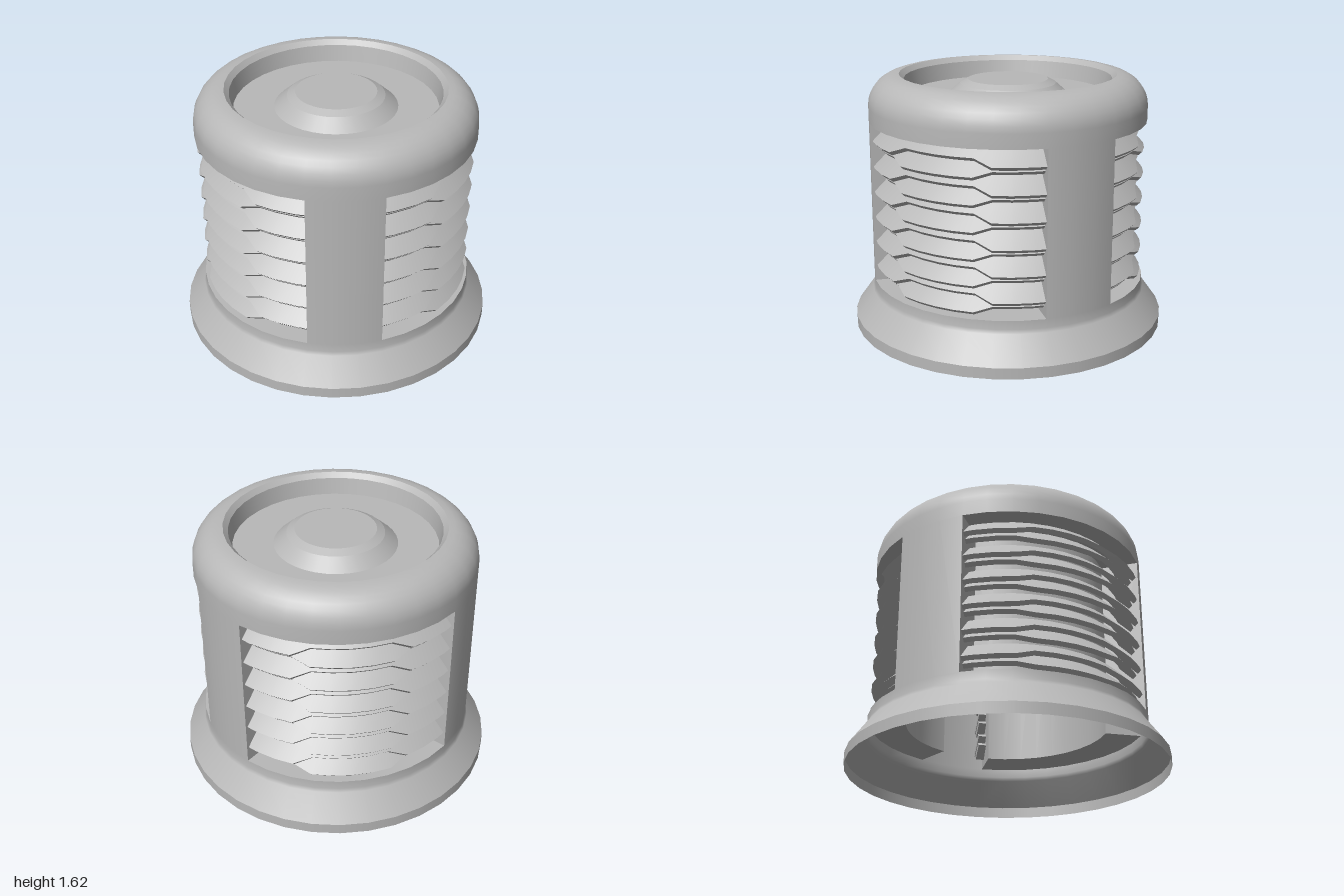
import * as THREE from 'three';

const rad = THREE.MathUtils.degToRad;
const R = 0.875, INNER = 0.64;      // outer wall and window-back radii
const SILL = 0.31, LINTEL = 1.33;   // window bottom and top

export function createModel() {
  const root = new THREE.Group();
  root.name = 'ventHousing';
  const grey = new THREE.MeshStandardMaterial({ color: 0xb8b8b8, side: THREE.DoubleSide });
  grey.name = 'plain grey';

  const add = (parent, name, geometry) => {
    const mesh = new THREE.Mesh(geometry, grey);
    mesh.name = name;
    parent.add(mesh);
    return mesh;
  };
  // Revolved surface; start and span in degrees, one facet per 10 degrees
  const lathe = (parent, name, pts, start = 15, span = 360) =>
    add(parent, name, new THREE.LatheGeometry(
      pts.map(([r, y]) => new THREE.Vector2(r, y)), span / 10, rad(start), rad(span)));

  // Hollow flared base
  lathe(root, 'baseRim', [[1, 0], [1, 0.07]]);
  lathe(root, 'baseFlare', [[1, 0.07], [0.885, 0.23], [R, 0.255], [R, SILL]]);

  // Rounded cap
  const capProfile = [[R, LINTEL], [R, 1.42]];
  for (let i = 1; i <= 8; i++) {
    const a = (i / 8) * Math.PI / 2;
    capProfile.push([0.68 + 0.195 * Math.cos(a), 1.42 + 0.195 * Math.sin(a)]);
  }
  lathe(root, 'cap', capProfile);

  // Dished top with a raised knob
  lathe(root, 'dishLip', [[0.68, 1.615], [0.65, 1.585]]);
  lathe(root, 'dishWall', [[0.65, 1.585], [0.63, 1.48]]);
  lathe(root, 'dishFloor', [[0.63, 1.48], [0.38, 1.48]]);
  lathe(root, 'knobSide', [[0.38, 1.48], [0.3, 1.55]]);
  lathe(root, 'knobBevel', [[0.3, 1.55], [0.25, 1.575]]);
  lathe(root, 'knobTop', [[0.25, 1.575], [0, 1.575]]);

  const longSideBlade = bladeGeometry(2.065, 0.852, 0.812);
  const longMiddleBlade = bladeGeometry(2.0, 0.82, 0.85);
  const wall = new THREE.PlaneGeometry(R - INNER, LINTEL - SILL);
  wall.translate((R + INNER) / 2, (SILL + LINTEL) / 2, 0);

  // Three pillars and three louvred windows between them
  for (let k = 0; k < 3; k++) {
    lathe(root, 'pillar', [[R, SILL], [R, LINTEL]], 15 + 120 * k, 30);

    const window = new THREE.Group();
    window.name = 'louvreWindow';
    window.rotation.y = rad(120 * k);
    root.add(window);
    lathe(window, 'windowBack', [[INNER, SILL], [INNER, LINTEL]], 45, 90);
    lathe(window, 'windowSill', [[R, SILL], [INNER, SILL]], 45, 90);
    lathe(window, 'windowLintel', [[INNER, LINTEL], [R, LINTEL]], 45, 90);
    for (const side of [-1, 1]) {
      add(window, 'windowJamb', wall).rotation.y = rad(45 * side);
    }
    for (let i = 0; i < 6; i++) {
      add(window, 'upperBlade', longSideBlade).position.y = -0.1625 * i;
      add(window, 'lowerBlade', longMiddleBlade).position.y = -0.1625 * i;
    }
  }
  return root;
}

// Curved slat sloping down and outward at 45 degrees along y = c - r;
// its outer edge steps between a side radius and a middle radius
function bladeGeometry(c, sideR, middleR) {
  const angles = [-49, -41, -32, -24, -16.5, -8, 0, 8, 16.5, 24, 32, 41, 49];
  const h = 0.0106, innerR = 0.74;
  const sections = angles.map((a) => {
    const t = THREE.MathUtils.clamp((Math.abs(a) - 16.5) / 7.5, 0, 1);
    const tip = THREE.MathUtils.lerp(middleR, sideR, t);
    const phi = rad(90 + a);
    return [[tip, h], [tip, -h], [innerR, -h], [innerR, h]].map(([r, d]) =>
      [(r + d) * Math.sin(phi), c - r + d, (r + d) * Math.cos(phi)]);
  });
  const pos = [], index = [];
  // Four long faces, each with its own vertices for sharp edges
  for (let j = 0; j < 4; j++) {
    const base = pos.length / 3;
    sections.forEach((s, i) => {
      pos.push(...s[j], ...s[(j + 1) % 4]);
      if (i === 0) return;
      const q = base + 2 * i, p = q - 2;
      index.push(p, p + 1, q, p + 1, q + 1, q);
    });
  }
  // End faces
  for (const [s, order] of [[sections[0], [0, 2, 1, 0, 3, 2]], [sections.at(-1), [0, 1, 2, 0, 2, 3]]]) {
    const base = pos.length / 3;
    s.forEach((p) => pos.push(...p));
    index.push(...order.map((o) => base + o));
  }
  const g = new THREE.BufferGeometry();
  g.setAttribute('position', new THREE.Float32BufferAttribute(pos, 3));
  g.setIndex(index);
  g.computeVertexNormals();
  return g;
}
